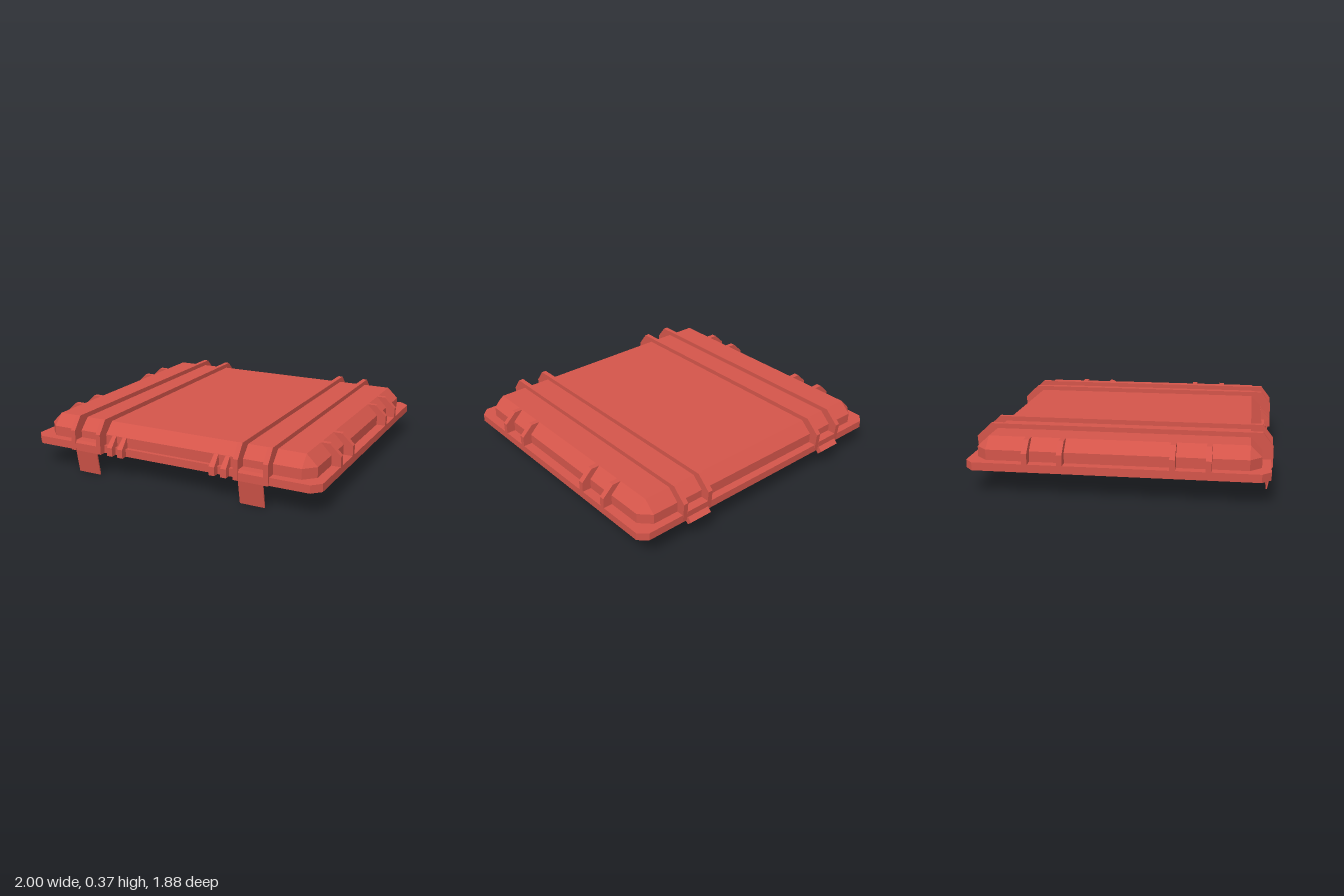
import * as THREE from 'three';

const red = new THREE.MeshStandardMaterial({ color: 0xd4554a, flatShading: true });
red.name = 'case red';

const shapeOf = pts => new THREE.Shape(pts.map(p => new THREE.Vector2(...p)));

// Extrudes a (z, y) profile along x from x0 to x1
function alongX(pts, x0, x1) {
  const g = new THREE.ExtrudeGeometry(shapeOf(pts), { depth: x1 - x0, bevelEnabled: false });
  return g.rotateY(-Math.PI / 2).translate(x1, 0, 0);
}

// Extrudes an (x, z) outline with a rectangular opening from y0 up to y1
function ring(outline, opening, y0, y1) {
  const s = shapeOf(outline);
  s.holes.push(new THREE.Path(opening.map(p => new THREE.Vector2(...p))));
  const g = new THREE.ExtrudeGeometry(s, { depth: y1 - y0, bevelEnabled: false });
  return g.rotateX(Math.PI / 2).translate(0, y1, 0);
}

// Eight-sided outline: rectangle with cut corners, two points per corner
function cutRect(w, z0, z1, cx, cz) {
  return [
    [w, z1 - cz], [w - cx, z1], [-w + cx, z1], [-w, z1 - cz],
    [-w, z0 + cz], [-w + cx, z0], [w - cx, z0], [w, z0 + cz],
  ];
}

// Lid skin: stacked eight-sided loops closed by a flat top
function loft(loops) {
  const pos = [];
  const tri = (a, b, c) => pos.push(...a, ...b, ...c);
  for (let k = 0; k < loops.length - 1; k++) {
    const lo = loops[k], hi = loops[k + 1], n = lo.length;
    for (let i = 0; i < n; i++) {
      const j = (i + 1) % n;
      tri(lo[i], hi[j], lo[j]);
      tri(lo[i], hi[i], hi[j]);
    }
  }
  const top = loops[loops.length - 1];
  for (let i = 1; i < top.length - 1; i++) tri(top[0], top[i + 1], top[i]);
  const g = new THREE.BufferGeometry();
  g.setAttribute('position', new THREE.Float32BufferAttribute(pos, 3));
  g.computeVertexNormals();
  return g;
}

export function createModel() {
  const model = new THREE.Group();
  model.name = 'caseLid';
  const add = (name, geometry) => {
    const m = new THREE.Mesh(geometry, red);
    m.name = name;
    model.add(m);
    return m;
  };

  // Flange, with a shallow step in the middle of its front edge
  const opening = [[0.88, 0.81], [-0.88, 0.81], [-0.88, -0.79], [0.88, -0.79]];
  const outline = [
    [1, 0.87], [0.945, 0.925], [0.47, 0.925], [0.47, 0.895],
    [-0.47, 0.895], [-0.47, 0.925], [-0.945, 0.925], [-1, 0.87],
    [-1, -0.855], [-0.945, -0.905], [0.945, -0.905], [1, -0.855],
  ];
  add('flange', ring(outline, opening, 0.15, 0.2));

  // Domed body with bevelled shoulders
  const base = cutRect(0.94, -0.855, 0.87, 0.07, 0.07);
  const top = cutRect(0.87, -0.78, 0.8, 0, 0);
  const at = (pts, y) => pts.map(([x, z]) => [x, y, z]);
  add('body', loft([at(base, 0.2), at(base, 0.265), at(top, 0.335)]));

  // Shallow recess underneath
  add('recessWall', ring(cutRect(0.92, -0.83, 0.85, 0.06, 0.06), opening, 0.15, 0.22));
  add('recessCeiling', new THREE.PlaneGeometry(1.78, 1.62).rotateX(Math.PI / 2).translate(0, 0.22, 0.01));

  // Side ribs
  for (const s of [-1, 1]) {
    const profile = [[0.86, 0.15], [1, 0.15], [1, 0.265], [0.927, 0.335], [0.86, 0.335]]
      .map(([x, y]) => [s * x, y]);
    for (const z of [-0.548, -0.335, 0.335, 0.547]) {
      add('sideRib', new THREE.ExtrudeGeometry(shapeOf(profile), { depth: 0.034, bevelEnabled: false })
        .translate(0, 0, z));
    }
  }

  // Long ribs frame the lid top; they stay clear of the recess underneath
  const longRib = [
    [0.86, 0.15], [0.938, 0.15], [0.938, 0.28], [0.873, 0.365], [-0.825, 0.365],
    [-0.915, 0.28], [-0.905, 0.15], [-0.83, 0.15], [-0.83, 0.25], [0.86, 0.25],
  ];
  const frontRib = [[0.85, 0.15], [0.935, 0.15], [0.935, 0.205], [0.872, 0.268], [0.85, 0.268]];
  const latch = [[0.87, 0.15], [0.926, 0.15], [0.9, 0], [0.909, 0], [0.936, 0.15], [0.936, 0.2], [0.926, 0.218], [0.87, 0.218]];
  const hinge = [[-0.94, 0.15], [-0.913, 0.123], [-0.886, 0.15], [-0.913, 0.177]];
  const hingeBlock = [[-0.85, 0.15], [-0.908, 0.15], [-0.912, 0.215], [-0.85, 0.215]];

  for (const s of [-1, 1]) {
    const span = (name, pts, a, b) =>
      add(name, alongX(pts, Math.min(s * a, s * b), Math.max(s * a, s * b)));
    span('longRib', longRib, 0.468, 0.5);
    span('longRib', longRib, 0.66, 0.692);
    span('latch', latch, 0.5, 0.66);
    span('hingeBlock', hingeBlock, 0.5, 0.66);
    span('hingePin', hinge, 0.5, 0.66);

    // Small front ribs, narrowing towards the top
    for (const c of [0.325, 0.402]) {
      const g = alongX(frontRib, -0.019, 0.019);
      const p = g.attributes.position;
      for (let i = 0; i < p.count; i++) if (p.getY(i) > 0.21) p.setX(i, p.getX(i) * 0.75);
      g.computeVertexNormals();
      add('frontRib', g.translate(s * c, 0, 0));
    }
  }
  return model;
}
